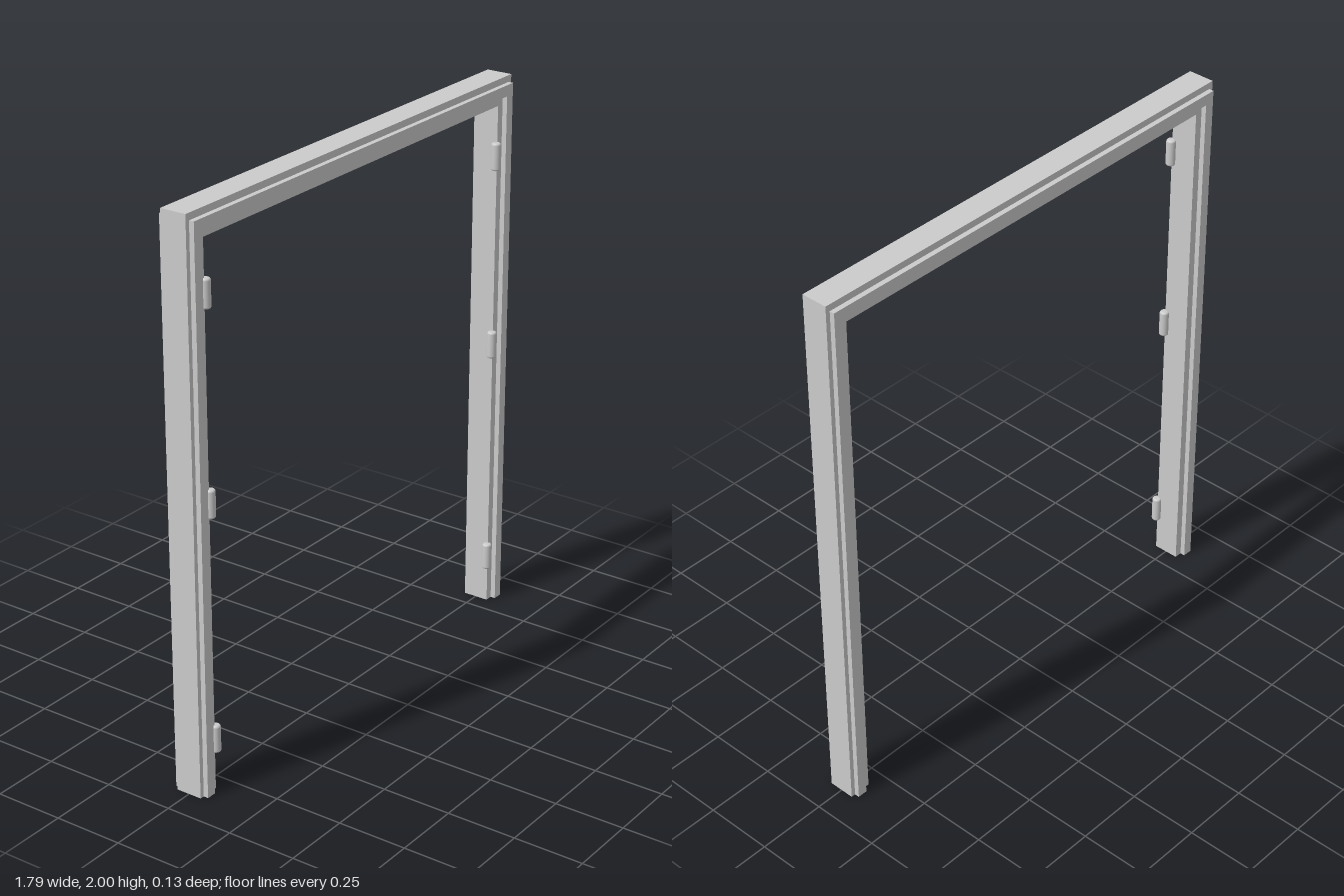
import * as THREE from 'three';

const material = new THREE.MeshStandardMaterial({ color: 0xcccccc, side: THREE.DoubleSide });

// Stepped frame section as [half width, height of the head, z], a closed loop
const front = [
  [0.813, 1.906, 0.048],
  [0.841, 1.936, 0.048],
  [0.841, 1.936, 0.066],
  [0.877, 1.976, 0.066],
  [0.877, 1.976, 0.048],
  [0.893, 2.0, 0.048],
];
const back = front.map(([x, y, z]) => [x, y, -z]).reverse();
const section = [...front, ...back];

// The section placed at the four stations: foot, mitre, mitre, foot
const stations = [
  ([x, , z]) => [x, 0, z],
  ([x, y, z]) => [x, y, z],
  ([x, y, z]) => [-x, y, z],
  ([x, , z]) => [-x, 0, z],
];

// Hollow length of frame between two stations, open at its ends
function frameLength(name, from, to) {
  const positions = [];
  section.forEach((p, i) => {
    const q = section[(i + 1) % section.length];
    const a = from(p), b = from(q), c = to(q), d = to(p);
    positions.push(...a, ...b, ...c, ...a, ...c, ...d);
  });
  const geometry = new THREE.BufferGeometry();
  geometry.setAttribute('position', new THREE.Float32BufferAttribute(positions, 3));
  geometry.computeVertexNormals();
  const mesh = new THREE.Mesh(geometry, material);
  mesh.name = name;
  return mesh;
}

// Hinge barrel with rounded ends
function hingeGeometry(radius, halfHeight, round) {
  const profile = [new THREE.Vector2(0, -halfHeight)];
  for (const side of [-1, 1]) {
    for (let i = 0; i <= 4; i++) {
      const t = (side < 0 ? i / 4 : 1 - i / 4) * Math.PI / 2;
      profile.push(new THREE.Vector2(
        radius - round + round * Math.sin(t),
        side * (halfHeight - round + round * Math.cos(t))
      ));
    }
  }
  profile.push(new THREE.Vector2(0, halfHeight));
  return new THREE.LatheGeometry(profile, 24);
}

export function createModel() {
  const model = new THREE.Group();
  model.name = 'doorFrame';

  // Two jambs and the head, mitred at the corners
  ['leftJamb', 'head', 'rightJamb'].forEach((name, i) => {
    model.add(frameLength(name, stations[i], stations[i + 1]));
  });

  // Three hinges on each jamb, set on the front inner edge
  const geometry = hingeGeometry(0.017, 0.05, 0.008);
  for (const side of [1, -1]) {
    const hinges = new THREE.Group();
    hinges.name = side > 0 ? 'leftHinges' : 'rightHinges';
    for (const y of [0.186, 1.026, 1.726]) {
      const hinge = new THREE.Mesh(geometry, material);
      hinge.name = 'hinge';
      hinge.position.set(side * 0.807, y, 0.048);
      hinges.add(hinge);
    }
    model.add(hinges);
  }
  return model;
}
